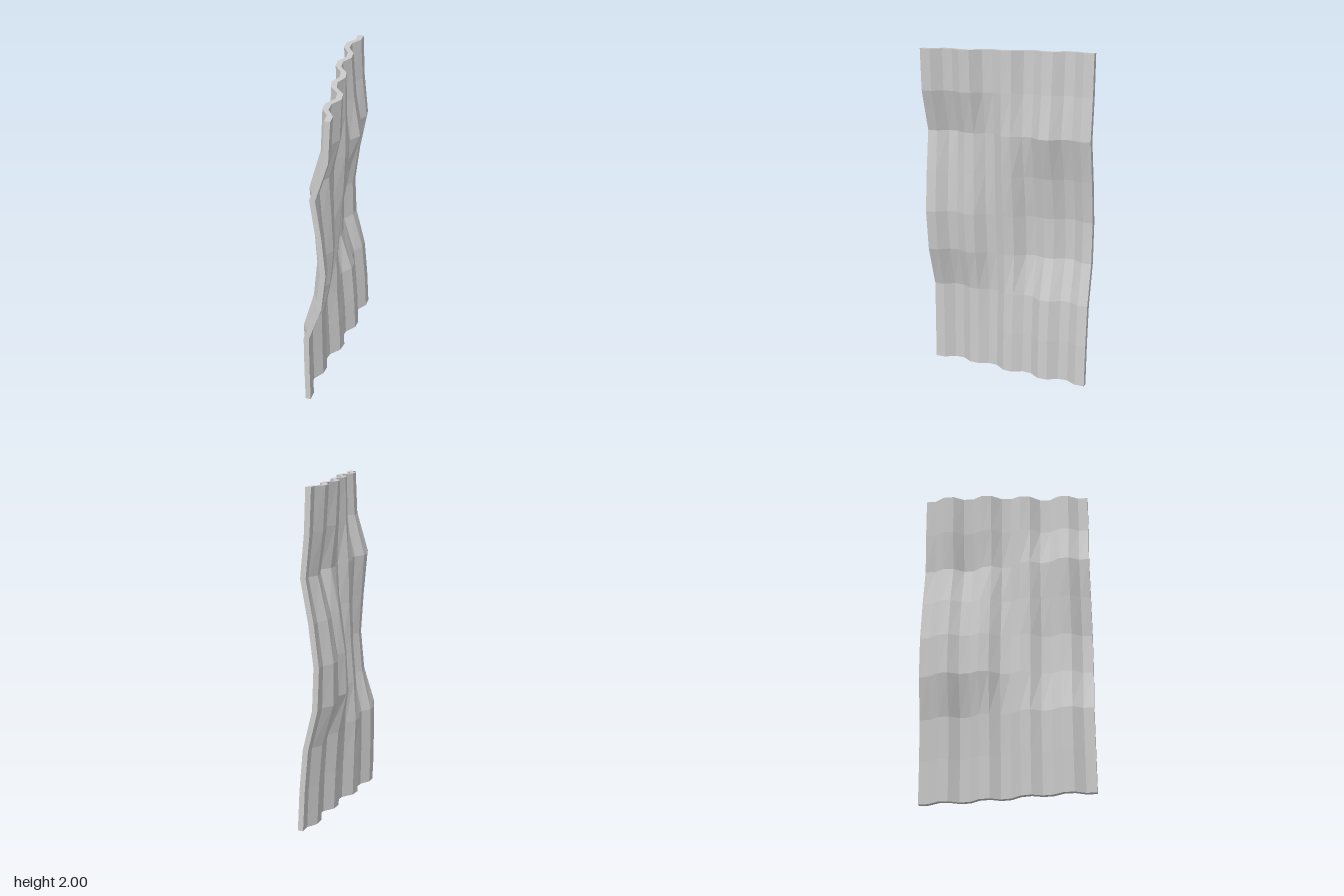
import * as THREE from 'three';

const LENGTH = 1.036, HEIGHT = 2, THICK = 0.033;
const COLS = 17, ROWS = 8, RIDGE = 0.02;

// Sideways warp at five stations from back to front; each lists rows from top to bottom
const STATIONS = [
  { col: 0, warp: [-0.03, -0.02, 0.005, -0.04, -0.07, -0.06, 0, 0.022, 0.035] },
  { col: 4.5, warp: [-0.02, 0, 0.043, -0.03, -0.075, -0.08, 0, 0.02, 0.03] },
  { col: 8.5, warp: [0.013, 0.015, 0.025, 0.01, -0.015, -0.035, -0.025, -0.01, 0] },
  { col: 12.5, warp: [0.07, 0.06, 0, 0.01, 0.02, 0, -0.05, -0.05, -0.045] },
  { col: 17, warp: [0.084, 0.072, -0.003, 0.03, 0.052, 0.025, -0.055, -0.055, -0.052] },
];

// Warp blended between neighbouring stations
function warpAt(col, row) {
  let i = 0;
  while (i < STATIONS.length - 2 && col > STATIONS[i + 1].col) i++;
  const a = STATIONS[i], b = STATIONS[i + 1];
  return THREE.MathUtils.lerp(a.warp[row], b.warp[row], (col - a.col) / (b.col - a.col));
}

export function createModel() {
  const group = new THREE.Group();
  group.name = 'corrugatedSheet';

  // Thin slab, shifted sideways into trapezoid ridges and bent row by row
  const geometry = new THREE.BoxGeometry(THICK, HEIGHT, LENGTH, 1, ROWS, COLS);
  const pos = geometry.attributes.position;
  for (let i = 0; i < pos.count; i++) {
    const col = Math.round((pos.getZ(i) / LENGTH + 0.5) * COLS);
    const row = Math.round((0.5 - pos.getY(i) / HEIGHT) * ROWS);
    const ridge = col % 4 < 2 ? RIDGE : -RIDGE;
    pos.setX(i, pos.getX(i) + ridge + warpAt(col, row));
  }
  geometry.translate(0, HEIGHT / 2, 0);
  const flat = geometry.toNonIndexed();
  flat.computeVertexNormals();

  const sheet = new THREE.Mesh(
    flat,
    new THREE.MeshStandardMaterial({ color: 0xcccccc, flatShading: true })
  );
  sheet.name = 'sheet';
  group.add(sheet);
  return group;
}
